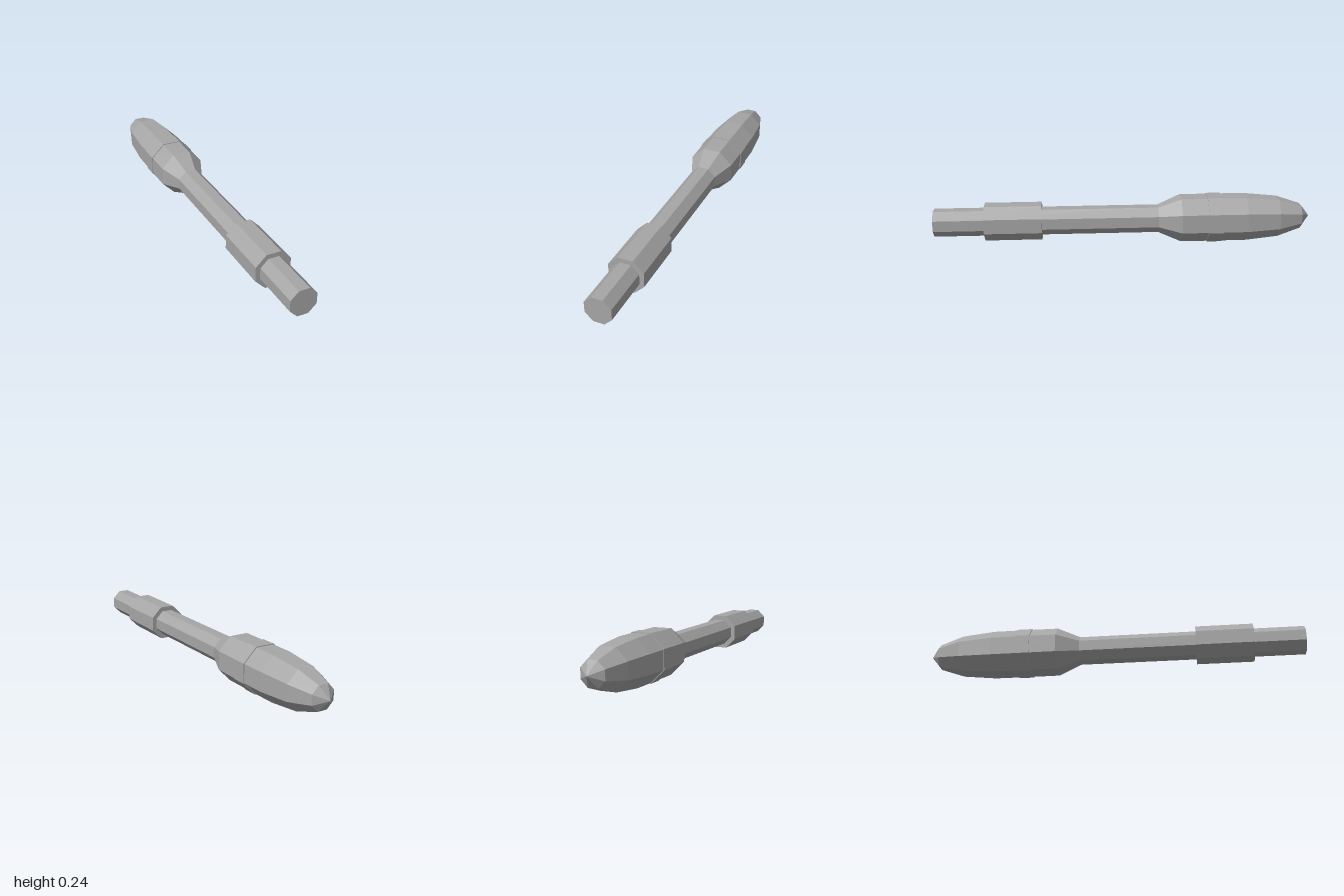
import * as THREE from 'three';

export function createModel() {
  const group = new THREE.Group();
  const metal = new THREE.MeshStandardMaterial({ color: 0xa6a6a6, flatShading: true });
  metal.name = 'grey metal';

  const SIDES = 8;
  const AXIS_HEIGHT = 0.1212;
  const toCorner = 1 / Math.cos(Math.PI / SIDES);

  // Octagonal turned part lying along z; profile holds [half width across flats, z], front to back
  function turned(name, profile) {
    const points = profile.map(([half, z]) => new THREE.Vector2(half * toCorner, -z));
    const geometry = new THREE.LatheGeometry(points, SIDES, Math.PI / SIDES);
    geometry.rotateX(-Math.PI / 2);
    const mesh = new THREE.Mesh(geometry, metal);
    mesh.name = name;
    mesh.position.y = AXIS_HEIGHT;
    group.add(mesh);
  }

  // Straight octagonal bar with closed ends
  function bar(name, half, front, back) {
    turned(name, [[0, front], [half, front], [half, back], [0, back]]);
  }

  bar('shaft', 0.0685, 1, -0.18);
  bar('collar', 0.0925, 0.735, 0.435);

  // Flared base, swelling body and pointed nose
  turned('head', [
    [0.0685, -0.18],
    [0.117, -0.30],
    [0.1175, -0.48],
    [0.117, -0.65],
    [0.101, -0.825],
    [0.062, -0.95],
    [0, -1],
  ]);

  // Slightly raised ring around the head
  bar('headBand', 0.1212, -0.44, -0.52);

  return group;
}
